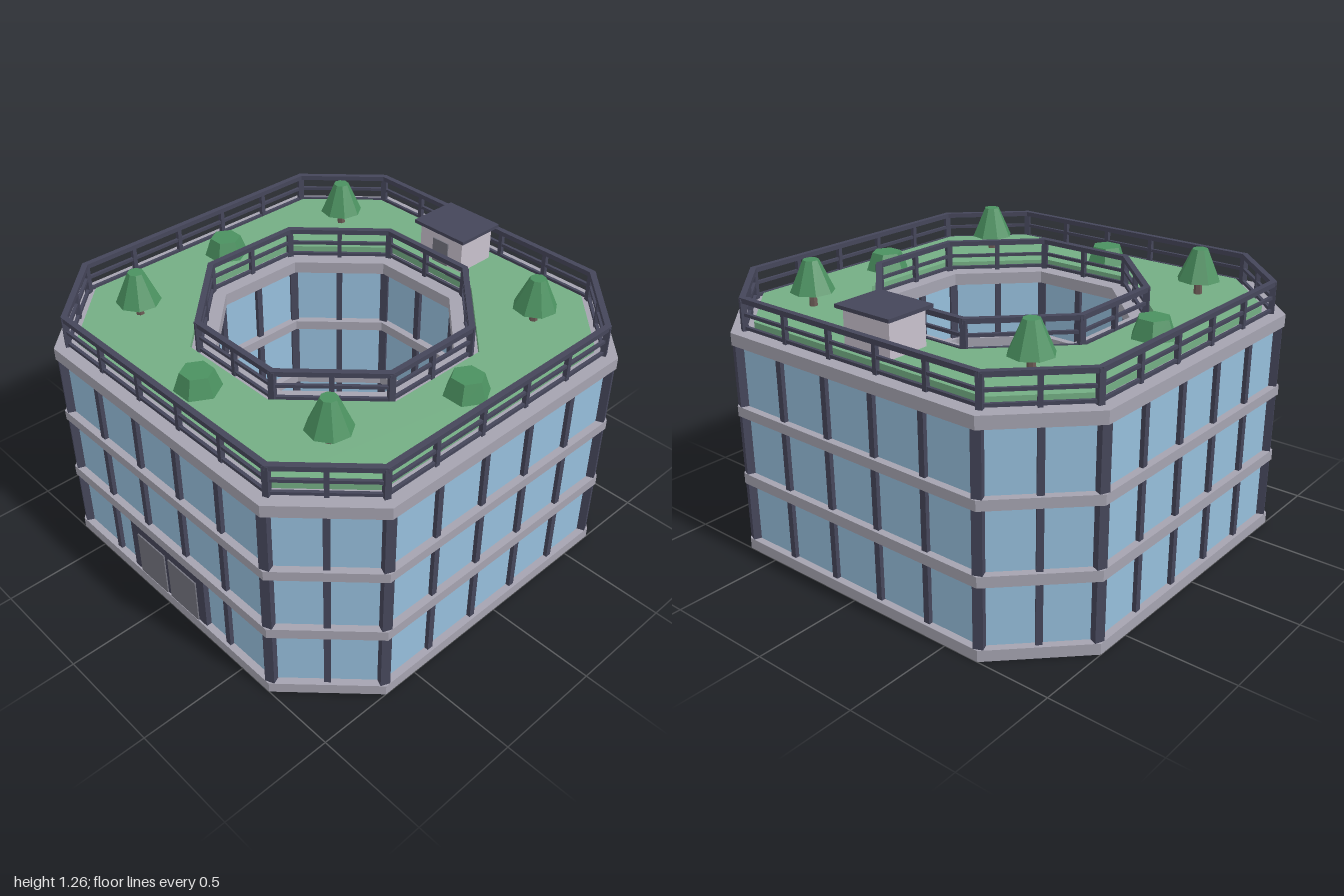
import * as THREE from 'three';

const mat = (name, color) => {
  const m = new THREE.MeshStandardMaterial({ color, flatShading: true });
  m.name = name;
  return m;
};

export function createModel() {
  const concrete = mat('concrete', 0xa5a3b0);
  const glass = mat('glass', 0x96bedb);
  const frame = mat('darkFrame', 0x45465a);
  const grass = mat('grass', 0x74ae84);
  const foliage = mat('foliage', 0x4b9160);
  const trunkMat = mat('trunk', 0x6b5a55);
  const doorMat = mat('door', 0x74747f);
  const hutMat = mat('hutWall', 0xc8c1cd);

  const model = new THREE.Group();
  model.name = 'courtyardBuilding';
  const add = (parent, name, geometry, material, x = 0, y = 0, z = 0) => {
    const mesh = new THREE.Mesh(geometry, material);
    mesh.name = name;
    mesh.position.set(x, y, z);
    parent.add(mesh);
    return mesh;
  };
  const group = (name, parent = model) => {
    const g = new THREE.Group();
    g.name = name;
    parent.add(g);
    return g;
  };

  // Octagon with half width h and half side c, as [x, z] corners
  const octagon = (h, c) => [
    [h, -c], [h, c], [c, h], [-c, h], [-h, c], [-h, -c], [-c, -h], [c, -h],
  ];
  const outer = (h) => octagon(h, 0.251 + 0.414 * h);
  const inner = (h) => octagon(h, 0.414 * h);

  // Horizontal octagonal plate, optionally with a hole
  const plate = (name, corners, hole, y0, y1, material) => {
    const toVectors = (pts) => pts.map(([x, z]) => new THREE.Vector2(x, z));
    const shape = new THREE.Shape(toVectors(corners));
    if (hole) shape.holes.push(new THREE.Path(toVectors(hole)));
    const geo = new THREE.ExtrudeGeometry(shape, { depth: y1 - y0, bevelEnabled: false });
    geo.rotateX(-Math.PI / 2);
    return add(model, name, geo, material, 0, y0, 0);
  };

  // Visit every side of an octagon with its ends, length and heading
  const eachSide = (corners, fn) => corners.forEach((a, i) => {
    const b = corners[(i + 1) % 8];
    const dx = b[0] - a[0], dz = b[1] - a[1];
    fn(a, b, Math.hypot(dx, dz), Math.atan2(-dz, dx), i);
  });

  // Upright posts at the corners and at even steps along each side
  const posts = (parent, name, corners, bays, width, depth, y0, y1, cornerWidth) => {
    eachSide(corners, (a, b, len, angle, i) => {
      const n = bays[i % 2];
      for (let k = 0; k < n; k++) {
        const t = k / n;
        const w = k ? width : cornerWidth, d = k ? depth : cornerWidth;
        const post = add(parent, name, new THREE.BoxGeometry(w, y1 - y0, d), frame,
          a[0] + (b[0] - a[0]) * t, (y0 + y1) / 2, a[1] + (b[1] - a[1]) * t);
        post.rotation.y = k ? angle : angle + Math.PI / 8;
      }
    });
  };

  // Floor slabs and the glazed storeys between them
  [[0, 0.05], [0.325, 0.373], [0.645, 0.69], [0.965, 1.02]].forEach(([y0, y1]) =>
    plate('floorSlab', outer(1), inner(0.5), y0, y1, concrete));
  plate('glazing', outer(0.967), inner(0.535), 0.03, 0.99, glass);

  // Window mullions on the street and courtyard sides
  posts(group('outerMullions'), 'mullion', outer(0.972), [5, 2], 0.028, 0.028, 0.04, 0.98, 0.042);
  posts(group('courtyardMullions'), 'mullion', inner(0.53), [2, 2], 0.028, 0.028, 0.04, 0.98, 0.036);

  // Entrance
  const entrance = group('entrance');
  add(entrance, 'doorFrame', new THREE.BoxGeometry(0.51, 0.275, 0.04), frame, 0, 0.1875, 0.972);
  [-1, 1].forEach((s) =>
    add(entrance, 'door', new THREE.BoxGeometry(0.19, 0.22, 0.008), doorMat, s * 0.108, 0.16, 0.994));

  // Roof lawn
  plate('roofLawn', outer(0.905), inner(0.6), 1.02, 1.05, grass);

  // Roof railings
  const railing = (name, corners, bays) => {
    const g = group(name);
    posts(g, 'railPost', corners, bays, 0.02, 0.02, 1.02, 1.16, 0.026);
    eachSide(corners, (a, b, len, angle) => {
      [[1.154, 0.022, 0.026], [1.092, 0.014, 0.014], [1.034, 0.014, 0.014]].forEach(([y, h, d]) => {
        const bar = add(g, 'rail', new THREE.BoxGeometry(len + d * 0.4, h, d), frame,
          (a[0] + b[0]) / 2, y, (a[1] + b[1]) / 2);
        bar.rotation.y = angle;
      });
    });
  };
  railing('outerRailing', outer(0.942), [5, 2]);
  railing('courtyardRailing', inner(0.563), [2, 2]);

  // Stair hut on the roof
  const hut = group('stairHut');
  add(hut, 'hutWalls', new THREE.BoxGeometry(0.25, 0.165, 0.2), hutMat, 0, 1.128, -0.762);
  add(hut, 'hutRoof', new THREE.BoxGeometry(0.295, 0.016, 0.245), frame, 0, 1.217, -0.762);
  add(hut, 'hutDoor', new THREE.BoxGeometry(0.09, 0.115, 0.008), doorMat, 0, 1.108, -0.66);

  // Faceted trees and bushes
  const tree = (x, y, z, r, trunkH, crownH) => {
    const g = group('tree');
    add(g, 'trunk', new THREE.CylinderGeometry(r * 0.16, r * 0.2, trunkH + 0.02, 6), trunkMat,
      x, y + trunkH / 2, z);
    add(g, 'crown', new THREE.CylinderGeometry(r * 0.36, r, crownH, 8), foliage,
      x, y + trunkH + crownH / 2, z).rotation.y = 0.2;
  };
  const bush = (x, y, z, r, h) => {
    add(model, 'bush', new THREE.CylinderGeometry(r * 0.7, r, h, 6), foliage,
      x, y + h / 2, z).rotation.y = Math.PI / 6;
  };
  [-1, 1].forEach((sx) => {
    [-1, 1].forEach((sz) => {
      tree(sx * 0.6, 1.05, sz * 0.6, 0.098, 0.066, 0.14);
      bush(sx * 0.255, 0.05, sz * 0.255, 0.06, 0.06);
    });
    bush(sx * 0.75, 1.05, 0, 0.1, 0.083);
  });
  bush(0, 1.05, 0.75, 0.1, 0.083);

  // Courtyard lawn, paved centre and tree
  plate('courtyardLawn', inner(0.5), null, 0.002, 0.05, grass);
  plate('courtyardPaving', inner(0.187), null, 0.03, 0.06, concrete);
  tree(0, 0.06, 0, 0.125, 0.1, 0.2);

  return model;
}
